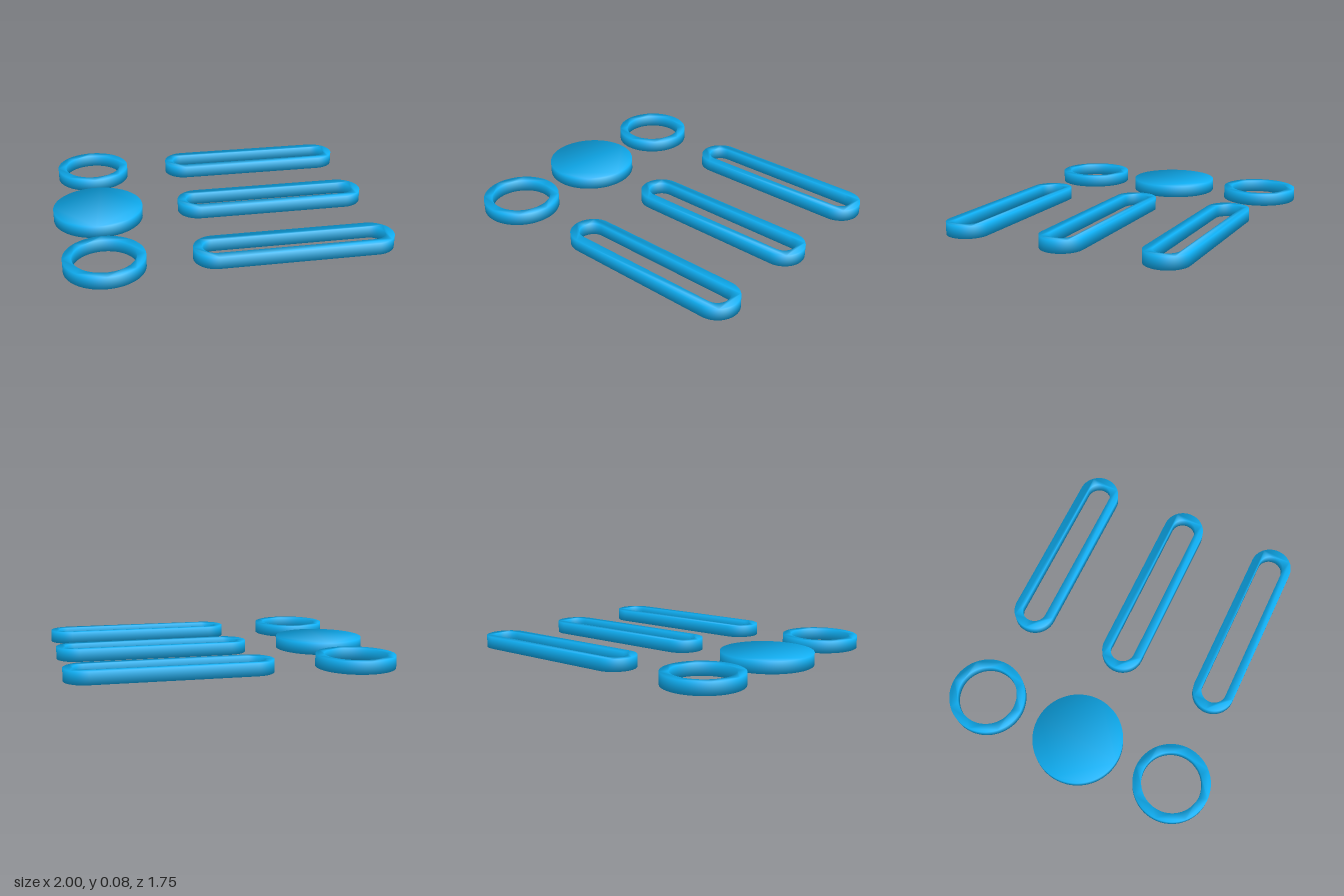
import * as THREE from 'three';

const HEIGHT = 0.075;
const material = new THREE.MeshStandardMaterial({ color: 0x0fb0f5 });

// Stadium outline: two half circles joined by straights (a circle when half = 0)
function outline(path, half, radius) {
  path.absarc(half, 0, radius, -Math.PI / 2, Math.PI / 2, false);
  path.absarc(-half, 0, radius, Math.PI / 2, Math.PI * 1.5, false);
  path.closePath();
  return path;
}

// Flat extruded plate, optionally hollow, with normals blended across its edges
function plate(name, x, z, half, outer, inner = 0) {
  const shape = outline(new THREE.Shape(), half, outer);
  if (inner > 0) shape.holes.push(outline(new THREE.Path(), half, inner));
  const geometry = new THREE.ExtrudeGeometry(shape, { depth: HEIGHT, bevelEnabled: false, curveSegments: 32 });
  geometry.rotateX(-Math.PI / 2);

  const p = geometry.attributes.position;
  const n = new THREE.Vector3();
  for (let i = 0; i < p.count; i++) {
    const px = p.getX(i);
    n.set(px - THREE.MathUtils.clamp(px, -half, half), 0, p.getZ(i));
    const inside = n.length() < (outer + inner) / 2;
    n.normalize().multiplyScalar(inside ? -1 : 1);
    n.y = p.getY(i) > HEIGHT / 2 ? 1 : -1;
    n.normalize();
    geometry.attributes.normal.setXYZ(i, n.x, n.y, n.z);
  }

  const mesh = new THREE.Mesh(geometry, material);
  mesh.name = name;
  mesh.position.set(x, 0, z);
  return mesh;
}

export function createModel() {
  const group = new THREE.Group();
  group.name = 'flatShapes';

  // Solid disc between two round rings
  group.add(plate('disc', -0.72, 0, 0, 0.28));
  group.add(plate('backRing', -0.72, -0.637, 0, 0.238, 0.185));
  group.add(plate('frontRing', -0.72, 0.637, 0, 0.238, 0.185));

  // Three long rounded loops
  ['backLoop', 'middleLoop', 'frontLoop'].forEach((name, i) => {
    group.add(plate(name, 0.395, (i - 1) * 0.637, 0.473, 0.132, 0.078));
  });

  return group;
}
